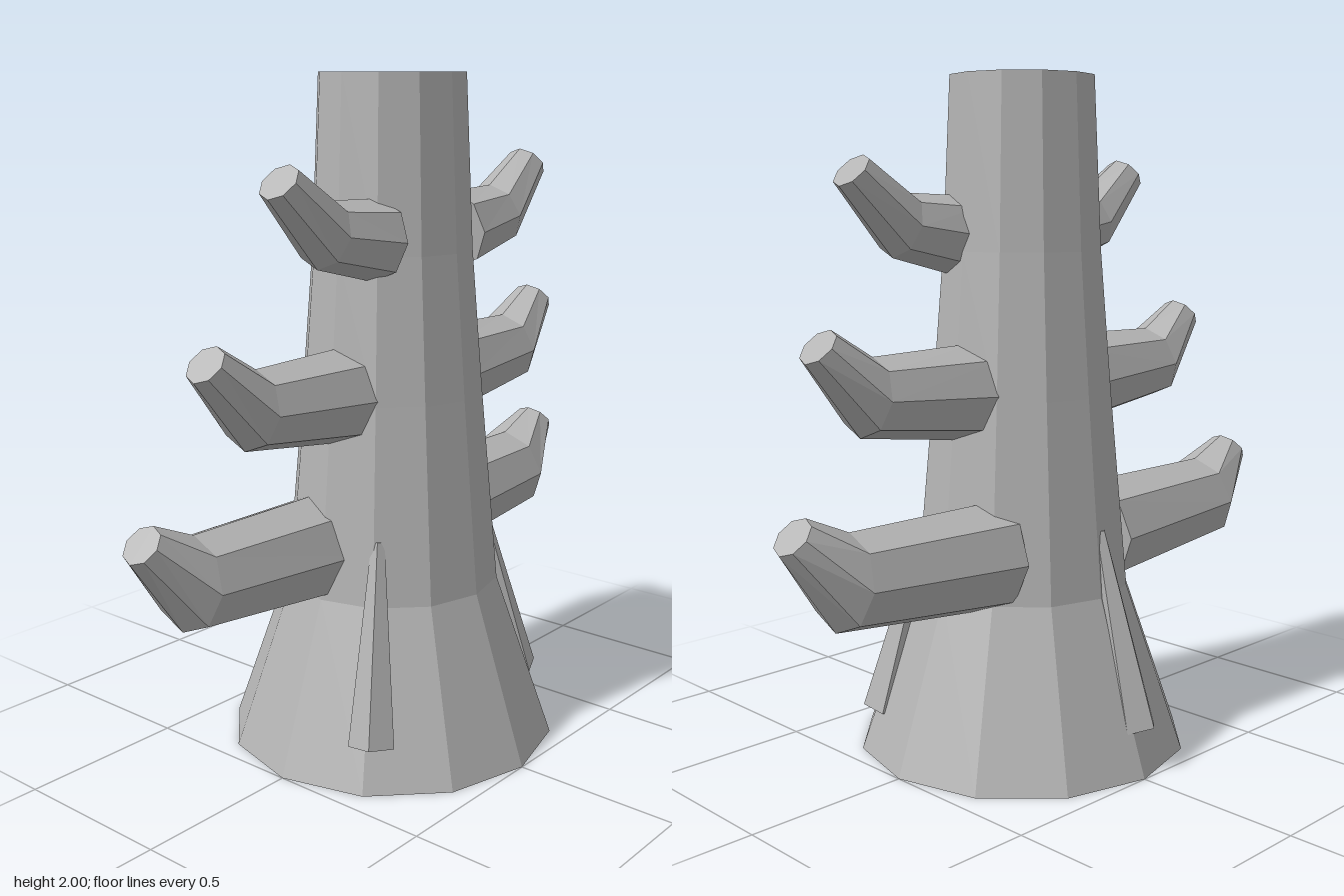
import * as THREE from 'three';

const SIDES = 8;

// Lofts octagonal rings [x, y, radius, tilt] along a bent limb; side mirrors it in x
function limbGeometry(rings, z, side) {
  const pos = [], idx = [];
  const tri = (a, b, c) => (side > 0 ? idx.push(a, b, c) : idx.push(a, c, b));
  for (const [x, y, r, tilt] of rings) {
    for (let k = 0; k < SIDES; k++) {
      const a = (k / SIDES) * Math.PI * 2;
      const up = r * Math.cos(a);
      pos.push(side * (x - up * Math.sin(tilt)), y + up * Math.cos(tilt), z + r * Math.sin(a));
    }
  }
  const last = (rings.length - 1) * SIDES;
  for (let k = 0; k < SIDES; k++) {
    const n = (k + 1) % SIDES;
    for (let b = 0; b < last; b += SIDES) {
      tri(b + k, b + n, b + SIDES + k);
      tri(b + n, b + SIDES + n, b + SIDES + k);
    }
    // end caps
    if (k > 0 && k < SIDES - 1) {
      tri(0, n, k);
      tri(last, last + k, last + n);
    }
  }
  const geo = new THREE.BufferGeometry();
  geo.setAttribute('position', new THREE.Float32BufferAttribute(pos, 3));
  geo.setIndex(idx);
  const flat = geo.toNonIndexed();
  flat.computeVertexNormals();
  return flat;
}

export function createModel() {
  const model = new THREE.Group();
  model.name = 'treeTrunk';
  const bark = new THREE.MeshStandardMaterial({ color: 0xb4b4b4 });
  bark.name = 'greyBark';
  bark.flatShading = true;

  const add = (geo, name) => {
    const mesh = new THREE.Mesh(geo, bark);
    mesh.name = name;
    model.add(mesh);
    return mesh;
  };

  // Twelve-sided trunk with flared foot and closed ends
  const profile = [[0, 0], [0.5, 0], [0.325, 0.5], [0.272, 1.08], [0.238, 1.5], [0.215, 2], [0, 2]];
  add(new THREE.LatheGeometry(profile.map(([r, y]) => new THREE.Vector2(r, y)), 12), 'trunk');

  // Three pairs of branches, each bending upward and tapering to a cut tip
  const branches = [
    { name: 'lowerBranch', z: -0.09, rings: [[0.22, 0.625, 0.16, 0.08], [0.755, 0.652, 0.135, 0.19], [0.91, 0.803, 0.06, 0.78]] },
    { name: 'middleBranch', z: 0, rings: [[0.2, 1.095, 0.142, 0.09], [0.593, 1.118, 0.112, 0.21], [0.75, 1.268, 0.06, 0.78]] },
    { name: 'upperBranch', z: 0.09, rings: [[0.178, 1.543, 0.116, 0.13], [0.39, 1.575, 0.095, 0.32], [0.56, 1.725, 0.06, 0.78]] },
  ];
  for (const { name, z, rings } of branches) {
    add(limbGeometry(rings, z, 1), name + 'Left');
    add(limbGeometry(rings, z, -1), name + 'Right');
  }

  // Three slim root ridges leaning against the foot of the trunk
  const low = new THREE.Vector2(0.425, 0.12), high = new THREE.Vector2(0.29, 0.69);
  const length = low.distanceTo(high);
  const lean = Math.atan2(low.x - high.x, high.y - low.y);
  [['rootLeft', 59], ['rootRight', -58], ['rootBack', 186]].forEach(([name, degrees]) => {
    const geo = new THREE.CylinderGeometry(0.02, 0.07, length, 5);
    geo.rotateX(-lean);
    geo.translate(0, (low.y + high.y) / 2, (low.x + high.x) / 2);
    geo.rotateY(THREE.MathUtils.degToRad(degrees));
    add(geo, name);
  });

  return model;
}
